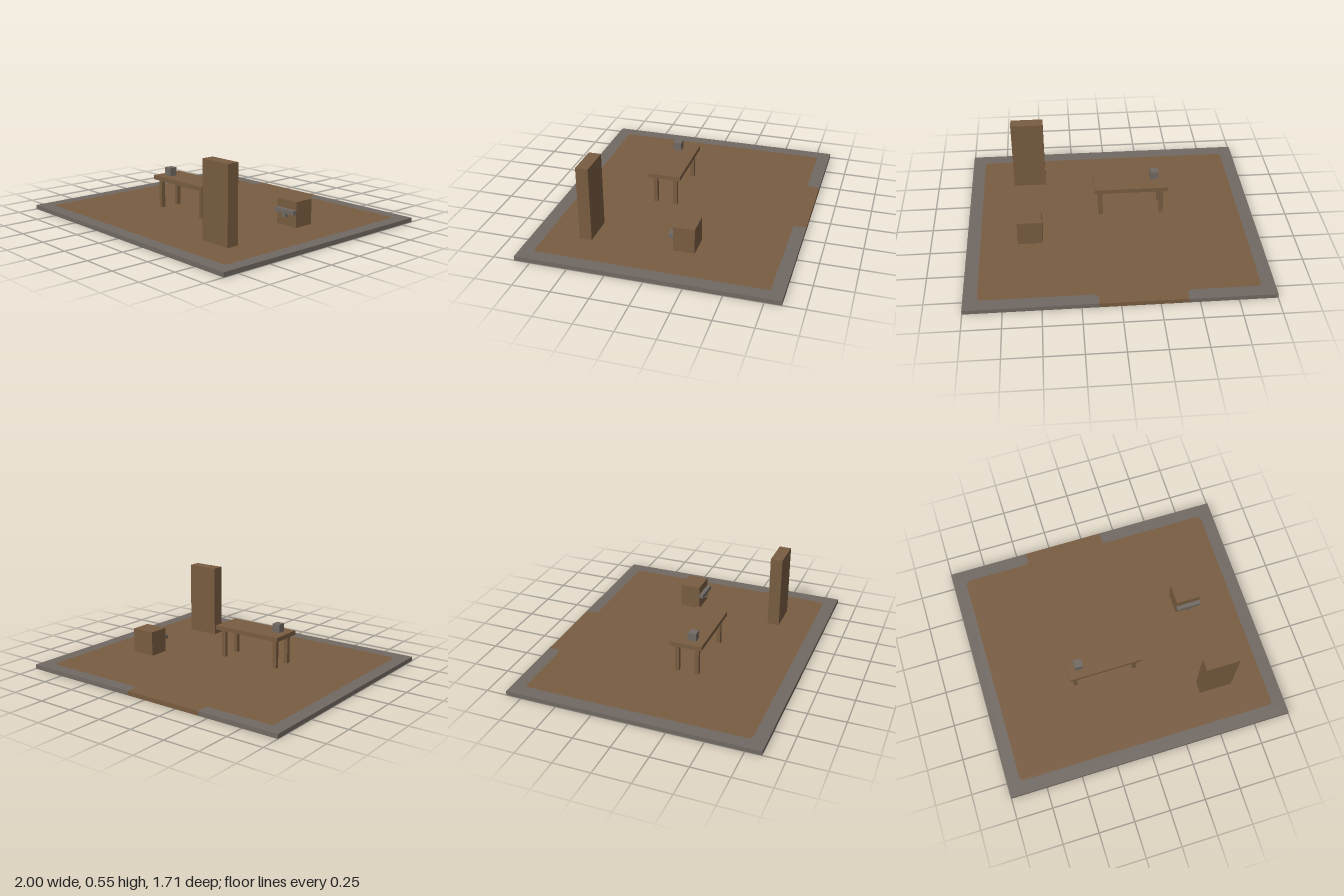
import * as THREE from 'three';

const FLOOR = 0.03; // floor thickness

export function createModel() {
  const wood = new THREE.MeshStandardMaterial({ color: 0x785c40 });
  wood.name = 'brown wood';
  const stone = new THREE.MeshStandardMaterial({ color: 0x716963 });
  stone.name = 'grey stone';

  const model = new THREE.Group();
  model.name = 'furnishedRoom';

  // Box given by its minimum and maximum corners
  function box(parent, name, material, [x0, y0, z0], [x1, y1, z1]) {
    const mesh = new THREE.Mesh(new THREE.BoxGeometry(x1 - x0, y1 - y0, z1 - z0), material);
    mesh.position.set((x0 + x1) / 2, (y0 + y1) / 2, (z0 + z1) / 2);
    mesh.name = name;
    parent.add(mesh);
  }

  function group(name) {
    const g = new THREE.Group();
    g.name = name;
    model.add(g);
    return g;
  }

  // Plan outline of the wooden floor: a room with a doorway, corners rounded
  const W = 1, D = 0.857, R = 0.03;
  const room = [
    [-0.43, -D], [-0.43, -0.77], [-0.91, -0.77], [-0.91, 0.765],
    [0.91, 0.765], [0.91, -0.77], [0.14, -0.77], [0.14, -D],
  ].map(([x, z]) => new THREE.Vector2(x, z));

  function roomOutline() {
    const shape = new THREE.Shape();
    shape.moveTo(room[0].x, room[0].y);
    for (let i = 1; i < room.length - 1; i++) {
      const p = room[i];
      const a = room[i - 1].clone().sub(p).setLength(R).add(p);
      const b = room[i + 1].clone().sub(p).setLength(R).add(p);
      shape.lineTo(a.x, a.y);
      shape.quadraticCurveTo(p.x, p.y, b.x, b.y);
    }
    const end = room[room.length - 1];
    shape.lineTo(end.x, end.y);
    return shape;
  }

  function slab(parent, name, material, shape) {
    const geo = new THREE.ExtrudeGeometry(shape, { depth: FLOOR, bevelEnabled: false, curveSegments: 5 });
    geo.rotateX(Math.PI / 2).translate(0, FLOOR, 0);
    const mesh = new THREE.Mesh(geo, material);
    mesh.name = name;
    parent.add(mesh);
  }

  // Floor: wooden room surrounded by a stone border that opens at the doorway
  const floor = group('floor');
  slab(floor, 'woodenFloor', wood, roomOutline());
  const border = roomOutline();
  for (const [x, z] of [[W, -D], [W, D], [-W, D], [-W, -D]]) border.lineTo(x, z);
  border.closePath();
  slab(floor, 'stoneBorder', stone, border);

  // Table with four legs and a small block on top
  const table = group('table');
  box(table, 'tableTop', wood, [-0.4, 0.23, 0.03], [0.113, 0.26, 0.255]);
  for (const x of [-0.373, 0.056]) {
    for (const z of [0.06, 0.2]) {
      box(table, 'tableLeg', wood, [x, FLOOR, z], [x + 0.028, 0.23, z + 0.028]);
    }
  }
  box(table, 'tableBlock', stone, [-0.345, 0.26, 0.14], [-0.288, 0.317, 0.197]);

  // Tall cupboard
  box(model, 'cupboard', wood, [0.455, FLOOR, 0.456], [0.685, 0.545, 0.54]);

  // Chest with a front band and clasp
  const chest = group('chest');
  box(chest, 'chestBody', wood, [0.485, FLOOR, -0.23], [0.655, 0.203, -0.086]);
  box(chest, 'chestBand', stone, [0.485, 0.118, -0.086], [0.655, 0.146, -0.057]);
  box(chest, 'chestClasp', stone, [0.556, 0.09, -0.086], [0.584, 0.118, -0.057]);

  return model;
}
